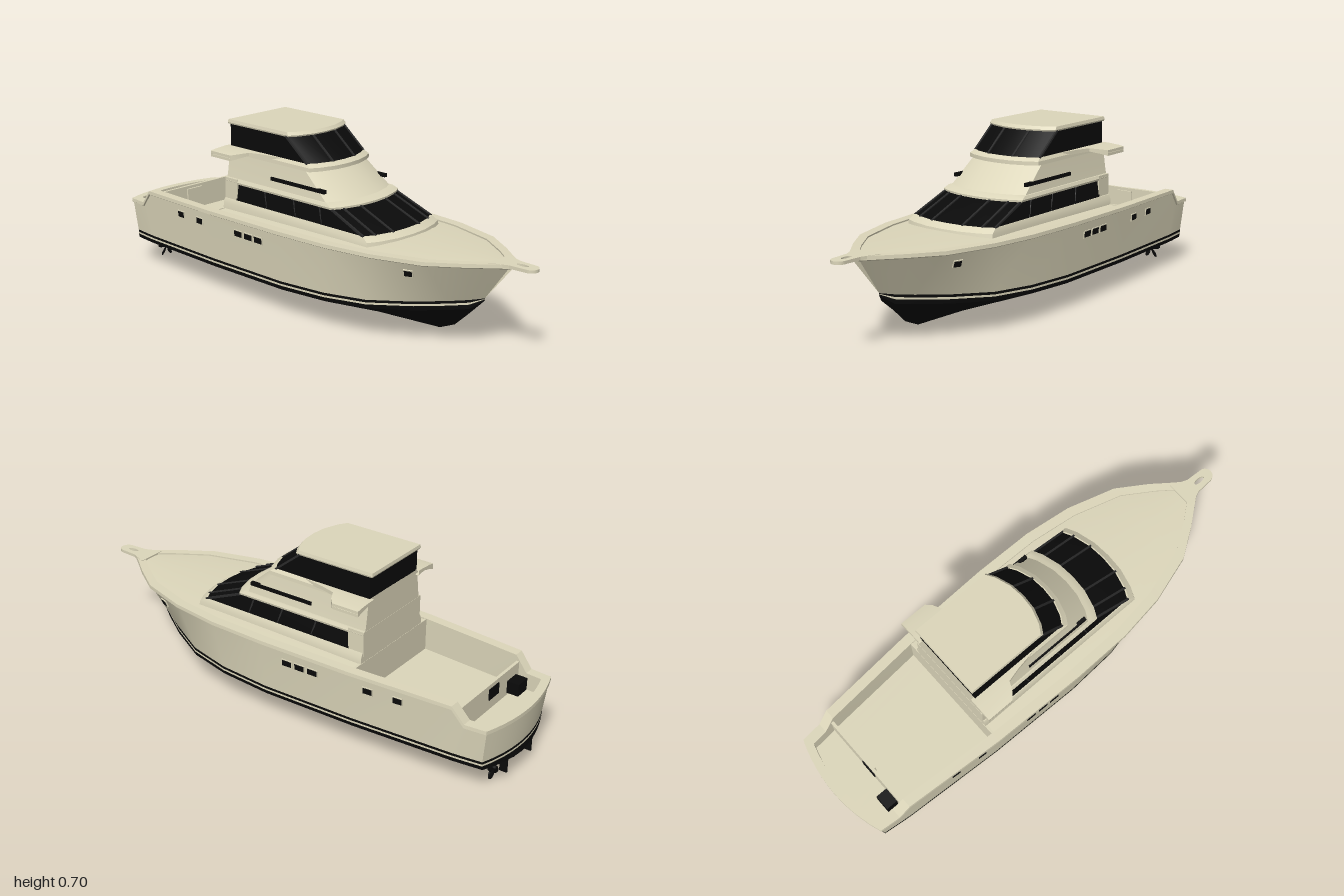
import * as THREE from 'three';
import { toCreasedNormals } from 'three/addons/utils/BufferGeometryUtils.js';

const mat = (color) => new THREE.MeshStandardMaterial({ color, side: THREE.DoubleSide });
const cream = mat(0xdcd6ba), black = mat(0x0a0a0a), trim = mat(0x2a2a2a);
const lerp = THREE.MathUtils.lerp;

// Hull stations, stern to bow: sheer z, x, y; boot stripe z, x, y; keel z, y
const stations = [
  [-.955, .232, .283, -.94, .222, .145, -.94, .095],
  [-.87, .24, .283, -.86, .232, .145, -.86, .09],
  [-.82, .246, .343, -.82, .236, .145, -.82, .087],
  [-.4, .278, .35, -.4, .263, .148, -.4, .068],
  [0, .29, .355, 0, .272, .15, 0, .055],
  [.25, .286, .358, .22, .262, .157, .25, .047],
  [.45, .26, .36, .4, .225, .165, .45, .042],
  [.65, .2, .362, .56, .145, .178, .57, .04],
  [.77, .12, .364, .67, .075, .19, .64, .07],
  [.84, .065, .365, .73, .033, .198, .7, .125],
  [.9, .02, .366, .775, 0, .207, .77, .195],
];
const FLOOR = .22;

// Skin between rows of points
function loft(rows, closed = false) {
  const n = rows[0].length, index = [];
  for (let i = 0; i < rows.length - 1; i++) {
    for (let j = 0; j < (closed ? n : n - 1); j++) {
      const k = (j + 1) % n, a = i * n + j, b = i * n + k, c = a + n, d = b + n;
      index.push(a, b, d, a, d, c);
    }
  }
  const g = new THREE.BufferGeometry();
  g.setAttribute('position', new THREE.Float32BufferAttribute(rows.flat(2), 3));
  g.setIndex(index);
  return toCreasedNormals(g, .5);
}

function add(parent, name, geometry, material, x = 0, y = 0, z = 0) {
  const m = new THREE.Mesh(geometry, material);
  m.name = name;
  m.position.set(x, y, z);
  parent.add(m);
  return m;
}
const box = (parent, name, material, w, h, d, x, y, z) =>
  add(parent, name, new THREE.BoxGeometry(w, h, d), material, x, y, z);

// Square bar between two points
function bar(parent, name, material, a, b, w) {
  const p = new THREE.Vector3(...a), q = new THREE.Vector3(...b);
  const m = box(parent, name, material, w, w, p.distanceTo(q), 0, 0, 0);
  m.position.copy(p).add(q).multiplyScalar(.5);
  m.lookAt(q);
  return m;
}

// Points of one station: sheer, boot stripe lines, chine, keel
function section([zs, xs, ys, zb, xb, yb, zk, yk]) {
  const d = Math.min(1, (yb - yk) * 20);
  return [[xs, ys, zs], [xb, yb, zb], [xb, yb - .01 * d, zb], [xb, yb - .018 * d, zb],
    [xb * .98, yb - .035 * d, zb], [0, yk, zk]];
}
const bands = [['topside', cream], ['bootLine', black], ['stripe', cream], ['lowerBand', black], ['bottom', black]];

// Half-breadth of the topside at a given length and height
function hullX(z, y) {
  const at = stations.map((s) => {
    const t = (y - s[5]) / (s[2] - s[5]);
    return [lerp(s[3], s[0], t), lerp(s[4], s[1], t)];
  });
  const i = Math.max(1, at.findIndex((p) => p[0] > z));
  const [a, b] = [at[i - 1], at[i]];
  return lerp(a[1], b[1], (z - a[0]) / (b[0] - a[0]));
}

// Plan outline of the superstructure with a faceted, bowed front
function ring([y, hw, zf, zb]) {
  const front = [[1, -.048], [.78, -.026], [.38, -.005], [0, 0], [-.38, -.005], [-.78, -.026], [-1, -.048]];
  return [[hw, y, zb], ...front.map(([f, dz]) => [f * hw, y, zf + dz]), [-hw, y, zb]];
}
function storey(parent, name, material, levels) {
  const rows = levels.map(ring);
  const collapse = ([y, , zf, zb]) => rows[0].map(() => [0, y, (zf + zb) / 2]);
  return add(parent, name, loft([collapse(levels[0]), ...rows, collapse(levels.at(-1))], true), material);
}
function mullions(parent, low, high, picks) {
  const a = ring(low), b = ring(high);
  picks.forEach((i) => bar(parent, 'mullion', trim, a[i], b[i], .008));
}

function buildSide() {
  const side = new THREE.Group();
  const secs = stations.map(section);
  bands.forEach(([name, m], r) => add(side, name, loft(secs.map((s) => [s[r], s[r + 1]])), m));
  // Gunwale cap and cockpit lining
  add(side, 'gunwale', loft(stations.map(([z, x, y], i) => {
    const inner = Math.max(0, x - .035);
    return [[x, y - .014, z], [x + .007, y - .01, z], [x + .006, y + .004, z], [inner, y + .004, z],
      [inner, i <= 3 ? FLOOR : y - .008, z]];
  })), cream);
  // Hull windows with pale frames
  const ports = [[.58, .305, .03], [-.115, .293, .042], [-.173, .293, .042], [-.232, .293, .042],
    [-.475, .293, .036], [-.6, .293, .036]];
  ports.forEach(([z, y, w]) => {
    const g = new THREE.Group();
    g.name = 'hullWindow';
    g.position.set(hullX(z, y), y, z);
    g.rotation.y = Math.atan((hullX(z + .02, y) - hullX(z - .02, y)) / .04);
    g.rotation.z = z > .5 ? -.35 : -.06;
    box(g, 'frame', cream, .006, .03, w + .007, 0, 0, 0);
    box(g, 'pane', black, .009, .023, w, 0, 0, 0);
    side.add(g);
  });
  // Flybridge wing
  add(side, 'bridgeWing', loft([[.15, .602, .582, -.05], [.175, .602, .587, -.2], [.19, .601, .588, -.26],
    [.23, .598, .58, -.28], [.252, .594, .571, -.3], [.252, .583, .582, -.3]].map(([x, t, b, zf]) =>
    [[x, t, zf], [x, t, -.415], [x, b, -.415], [x, b, zf]]), true), cream);
  // Recessed slit and side window bars
  bar(side, 'sideSlit', black, [.171, .514, .14], [.171, .514, -.15], .014);
  [.14, 0, -.16].forEach((z) => bar(side, 'mullion', trim, [.19, .392, z], [.182, .46, z - .02], .006));
  // Running gear
  bar(side, 'shaft', black, [.09, .095, -.58], [.09, .045, -.93], .008);
  box(side, 'shaftStrut', black, .008, .06, .03, .09, .075, -.87);
  box(side, 'rudder', black, .008, .075, .03, .09, .082, -.957);
  const prop = new THREE.Group();
  prop.name = 'propeller';
  prop.position.set(.09, .045, -.917);
  add(prop, 'hub', new THREE.CylinderGeometry(.009, .009, .025, 12), black).rotation.x = Math.PI / 2;
  for (let i = 0; i < 5; i++) {
    const arm = new THREE.Group();
    arm.rotation.z = i * Math.PI * .4;
    const blade = add(arm, 'blade', new THREE.SphereGeometry(1, 12, 8), black, 0, .027, 0);
    blade.scale.set(.013, .02, .003);
    blade.rotation.y = .5;
    prop.add(arm);
  }
  side.add(prop);
  return side;
}

export function createModel() {
  const model = new THREE.Group();
  model.name = 'motorYacht';
  for (const s of [1, -1]) {
    const side = buildSide();
    side.name = s > 0 ? 'leftSide' : 'rightSide';
    side.scale.x = s;
    model.add(side);
  }

  // Bowed transom
  const us = Array.from({ length: 13 }, (_, i) => i / 6 - 1);
  const bow = (x, y, z, depth = .042) => us.map((u) => [u * x, y, z - depth * (1 - u * u)]);
  const st = section(stations[0]);
  const rows = st.slice(0, 5).map(([x, y, z]) => bow(x, y, z));
  const keelRow = (depth) => us.map((u) => [u * st[4][0], lerp(st[5][1], st[4][1], Math.abs(u)), st[4][2] - depth * (1 - u * u)]);
  rows.push(keelRow(.042));
  bands.forEach(([, m], r) => add(model, 'transom', loft([rows[r], rows[r + 1]]), m));
  add(model, 'transomBottom', loft([keelRow(.042), keelRow(0)]), black);
  add(model, 'transomCap', loft([bow(.236, .272, -.957), bow(.236, .287, -.957), bow(.215, .287, -.93, .035),
    bow(.215, FLOOR, -.93, .035)]), cream);

  // Cambered deck, cockpit sole and bulkheads
  add(model, 'deck', loft(stations.slice(3).map(([z, x, y]) =>
    us.map((u) => [u * x * .97, y - .004 + .04 * x * (1 - u * u), z]))), cream);
  add(model, 'cockpitFloor', loft([bow(.21, FLOOR, -.94), ...stations.slice(1, 4).map(([z, x]) => bow(x - .03, FLOOR, z, 0))]), cream);
  box(model, 'cockpitBulkhead', cream, .49, .135, .01, 0, .285, -.397);
  box(model, 'sternPanel', cream, .415, .105, .012, 0, .272, -.83);
  box(model, 'sternHatch', cream, .08, .045, .008, 0, .29, -.821);
  box(model, 'sternWindow', black, .07, .045, .006, -.02, .285, -.837);
  box(model, 'sternLocker', black, .065, .05, .05, -.155, .255, -.86);

  // Bow pulpit with an oval slot
  const shape = new THREE.Shape();
  shape.moveTo(-.062, -.83);
  shape.lineTo(-.034, -.9);
  shape.lineTo(-.03, -.97);
  shape.absarc(0, -.97, .03, Math.PI, Math.PI * 2);
  shape.lineTo(.034, -.9);
  shape.lineTo(.062, -.83);
  const slot = new THREE.Path();
  slot.absellipse(0, -.935, .01, .025, 0, Math.PI * 2);
  shape.holes.push(slot);
  const pulpit = add(model, 'pulpit', new THREE.ExtrudeGeometry(shape, { depth: .012, bevelEnabled: false }), cream, 0, .371, 0);
  pulpit.rotation.x = -Math.PI / 2;
  pulpit.position.y = .359;

  // Deckhouse
  const house = new THREE.Group();
  house.name = 'deckhouse';
  model.add(house);
  const low = [.39, .193, .405, -.335], high = [.465, .182, .215, -.335];
  storey(house, 'houseBase', cream, [[.35, .205, .435, -.4], [.375, .203, .43, -.4], [.392, .196, .405, -.4]]);
  storey(house, 'saloonWindows', black, [low, high]);
  mullions(house, low, high, [1, 2, 3, 5, 6, 7]);
  box(house, 'aftWall', cream, .383, .125, .07, 0, .415, -.366);
  storey(house, 'eave', cream, [[.458, .19, .235, -.4], [.466, .192, .235, -.4], [.478, .186, .21, -.4]]);
  storey(house, 'coaming', cream, [[.476, .18, .2, -.4], [.51, .174, .158, -.4], [.575, .165, .078, -.4]]);
  storey(house, 'bridgeLedge', cream, [[.575, .168, .1, -.4], [.59, .167, .1, -.4], [.602, .159, .082, -.4]]);

  // Enclosed bridge
  const sill = [.6, .157, .08, -.4], head = [.692, .157, -.035, -.4];
  storey(house, 'bridgeWindows', black, [sill, head]);
  mullions(house, sill, head, [1, 3, 5, 7]);
  storey(house, 'roof', cream, [[.69, .159, -.022, -.41], [.696, .161, -.02, -.413], [.708, .158, -.03, -.411]]);
  return model;
}
